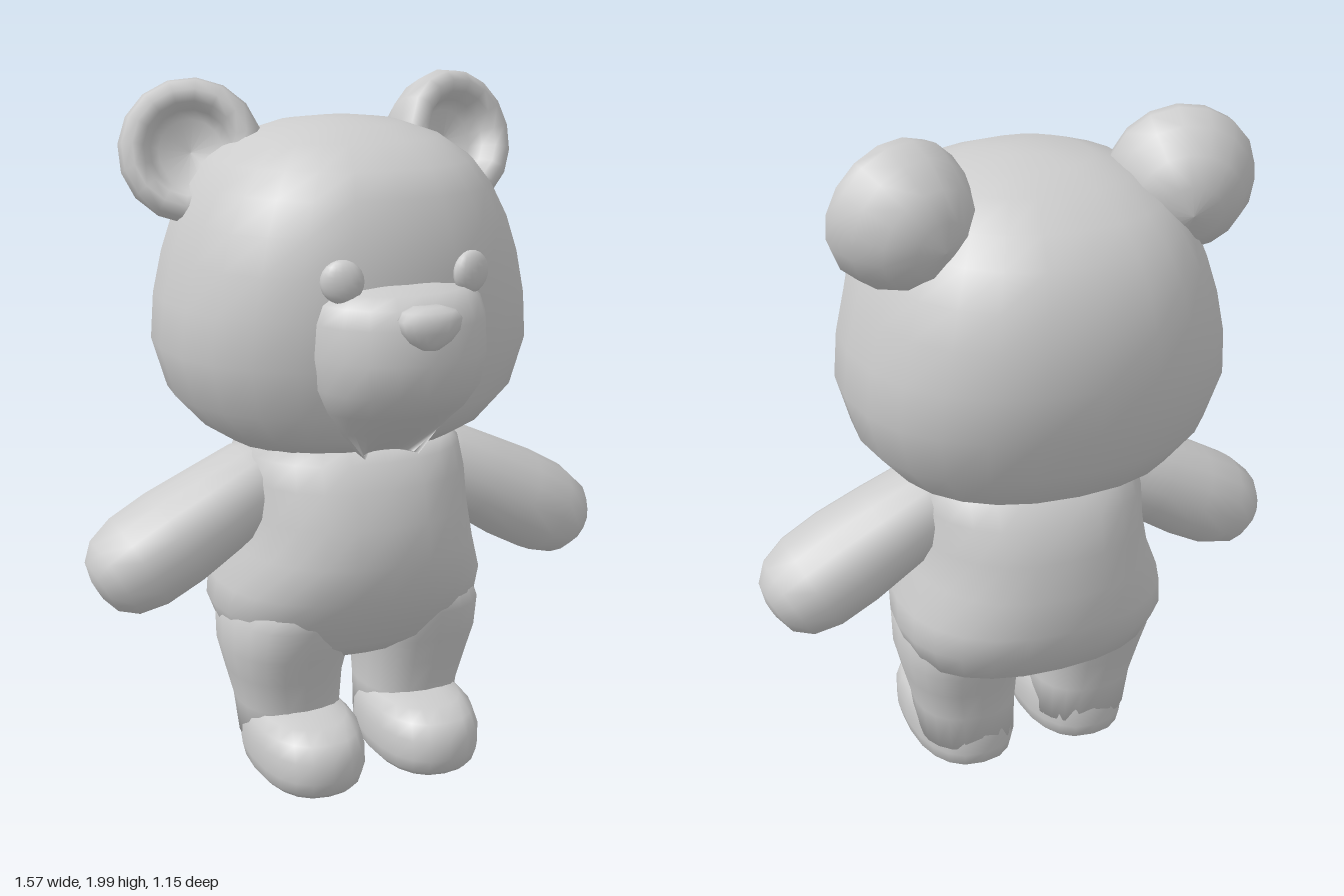
import * as THREE from 'three';

const grey = new THREE.MeshStandardMaterial({ color: 0xcccccc });
grey.name = 'plush grey';

// Smooth closed skin through rounded rings stacked along y.
// row: [y, half width, front z, back z, centre x, slope of the ring along z]
function loft(rows, segments = 20, power = 2.3, middle = null) {
  const pos = [], index = [];
  const round = (v) => Math.sign(v) * Math.pow(Math.abs(v), 2 / power);
  for (const [y, rx, zf, zb, cx = 0, slope = 0] of rows) {
    const cz = middle ?? (zf + zb) / 2;
    for (let j = 0; j < segments; j++) {
      const a = (j / segments) * Math.PI * 2;
      const s = round(-Math.sin(a));
      const z = cz + s * (s > 0 ? zf - cz : cz - zb);
      pos.push(cx + rx * round(Math.cos(a)), y + slope * z, z);
    }
  }
  for (let i = 0; i < rows.length - 1; i++) {
    for (let j = 0; j < segments; j++) {
      const k = (j + 1) % segments;
      const a = i * segments + j, b = i * segments + k;
      index.push(a, b, b + segments, a, b + segments, a + segments);
    }
  }
  // end caps
  for (const [i, up] of [[0, false], [rows.length - 1, true]]) {
    const [y, , zf, zb, cx = 0, slope = 0] = rows[i];
    const cz = (zf + zb) / 2, c = pos.length / 3;
    pos.push(cx, y + slope * cz, cz);
    for (let j = 0; j < segments; j++) {
      const a = i * segments + j, b = i * segments + (j + 1) % segments;
      if (up) index.push(a, b, c); else index.push(b, a, c);
    }
  }
  const g = new THREE.BufferGeometry();
  g.setAttribute('position', new THREE.Float32BufferAttribute(pos, 3));
  g.setIndex(index);
  g.computeVertexNormals();
  return g;
}

export function createModel() {
  const bear = new THREE.Group();
  bear.name = 'teddyBear';
  const add = (name, geometry) => {
    const m = new THREE.Mesh(geometry, grey);
    m.name = name;
    bear.add(m);
    return m;
  };

  // Head: wide cheeks, flatter face, round back
  add('head', loft([
    [0.98, 0.18, 0.12, -0.2, 0, 0.07],
    [0.985, 0.32, 0.23, -0.31, 0, 0.07],
    [1.04, 0.41, 0.3, -0.43, 0, 0.03],
    [1.13, 0.495, 0.35, -0.5],
    [1.27, 0.535, 0.385, -0.555],
    [1.4, 0.523, 0.395, -0.575],
    [1.52, 0.495, 0.395, -0.57],
    [1.62, 0.462, 0.375, -0.545],
    [1.71, 0.415, 0.345, -0.5],
    [1.78, 0.36, 0.3, -0.43],
    [1.84, 0.275, 0.2, -0.33],
    [1.875, 0.17, 0.1, -0.23],
    [1.888, 0.06, 0, -0.13],
  ], 24, 2.25, -0.08));

  // Muzzle: deep chin, shallow top
  add('muzzle', loft([
    [1.0, 0.08, 0.23, 0.1],
    [1.08, 0.15, 0.35, 0.1],
    [1.15, 0.205, 0.455, 0.1],
    [1.22, 0.238, 0.525, 0.1],
    [1.31, 0.253, 0.543, 0.1],
    [1.4, 0.25, 0.53, 0.1],
    [1.45, 0.235, 0.51, 0.1],
    [1.48, 0.2, 0.47, 0.1],
    [1.495, 0.12, 0.4, 0.1],
  ], 20, 2.1, 0.3));

  // Nose: rounded triangle with a flat top
  add('nose', loft([
    [1.352, 0.025, 0.552, 0.51],
    [1.372, 0.058, 0.565, 0.5],
    [1.4, 0.082, 0.575, 0.49],
    [1.43, 0.09, 0.575, 0.48],
    [1.45, 0.075, 0.562, 0.48],
    [1.46, 0.04, 0.54, 0.48],
  ], 16, 2));

  // Torso: narrow shoulders, round belly and bottom
  add('torso', loft([
    [0.33, 0.12, 0.06, -0.15],
    [0.35, 0.25, 0.12, -0.24],
    [0.41, 0.37, 0.2, -0.33],
    [0.5, 0.403, 0.26, -0.385],
    [0.58, 0.398, 0.31, -0.405],
    [0.69, 0.358, 0.338, -0.402],
    [0.8, 0.338, 0.328, -0.388],
    [0.9, 0.335, 0.3, -0.365],
    [0.97, 0.325, 0.262, -0.31],
    [1.01, 0.29, 0.22, -0.26],
  ], 24, 2.3));

  for (const s of [1, -1]) {
    const side = s > 0 ? 'left' : 'right';

    // Leg running up into the torso
    add(side + 'Leg', loft([
      [0.08, 0.145, 0.12, -0.175, s * 0.185],
      [0.2, 0.153, 0.135, -0.19, s * 0.192],
      [0.3, 0.168, 0.16, -0.215, s * 0.203],
      [0.38, 0.185, 0.19, -0.245, s * 0.205],
      [0.48, 0.19, 0.22, -0.27, s * 0.2],
      [0.58, 0.16, 0.22, -0.27, s * 0.18],
    ]));

    // Foot with a flat sole and a long toe
    add(side + 'Foot', loft([
      [0, 0.13, 0.285, -0.145, s * 0.183],
      [0.02, 0.148, 0.308, -0.172, s * 0.183],
      [0.06, 0.158, 0.325, -0.182, s * 0.183],
      [0.12, 0.158, 0.323, -0.18, s * 0.183],
      [0.165, 0.148, 0.295, -0.175, s * 0.183],
      [0.19, 0.125, 0.235, -0.16, s * 0.183],
      [0.203, 0.08, 0.15, -0.12, s * 0.183],
    ], 20, 2.4));

    // Arm: mitten shape pointing out and down
    const arm = add(side + 'Arm', loft([
      [-0.06, 0.08, 0.08, -0.12],
      [0.06, 0.12, 0.12, -0.16],
      [0.2, 0.132, 0.14, -0.17],
      [0.34, 0.143, 0.152, -0.178],
      [0.46, 0.141, 0.15, -0.175],
      [0.54, 0.12, 0.125, -0.15],
      [0.585, 0.08, 0.08, -0.105],
      [0.6, 0.03, 0.02, -0.04],
    ], 16, 2.1));
    arm.position.set(s * 0.235, 0.905, 0);
    arm.rotation.z = -s * THREE.MathUtils.degToRad(119);

    // Ear: domed back, thick rim and hollow front
    const profile = [
      [0, -0.2], [0.08, -0.185], [0.145, -0.135], [0.187, -0.06], [0.202, 0.01],
      [0.19, 0.05], [0.16, 0.07], [0.13, 0.055], [0.112, 0.015], [0.09, -0.02], [0, -0.035],
    ].map(([r, t]) => new THREE.Vector2(r, t));
    const ear = add(side + 'Ear', new THREE.LatheGeometry(profile, 16));
    ear.position.set(s * 0.4, 1.797, -0.18);
    ear.quaternion.setFromUnitVectors(
      new THREE.Vector3(0, 1, 0), new THREE.Vector3(s * 0.28, 0.25, 0.92).normalize());

    // Eye: flattened bead turned with the face
    const eye = add(side + 'Eye', new THREE.SphereGeometry(0.058, 16, 12));
    eye.position.set(s * 0.185, 1.515, 0.388);
    eye.scale.z = 0.5;
    eye.rotation.y = s * 0.3;
  }
  return bear;
}
